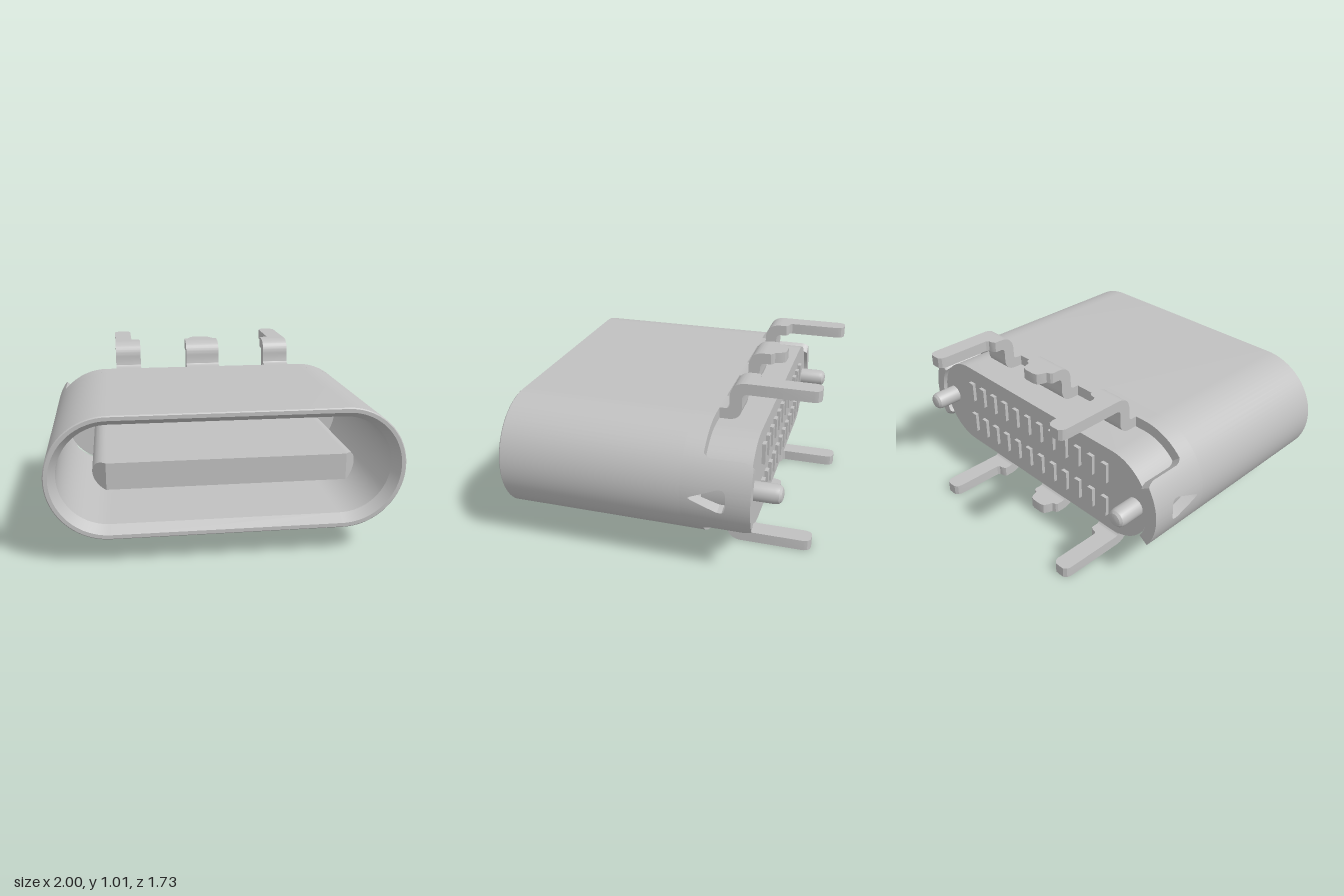
import * as THREE from 'three';
import { toCreasedNormals } from 'three/addons/utils/BufferGeometryUtils.js';

const CY = 0.5075;   // height of the connector axis
const CX = 0.65;     // centres of the rounded ends
const R_OUT = 0.35, R_IN = 0.285;
const HALF = Math.PI / 2;

export function createModel() {
  const model = new THREE.Group();
  const metal = new THREE.MeshStandardMaterial({ color: 0xc0c0c0 });
  metal.name = 'grey metal';

  const add = (name, geo, parent = model) => {
    const mesh = new THREE.Mesh(toCreasedNormals(geo, 0.5), metal);
    mesh.name = name;
    parent.add(mesh);
    return mesh;
  };
  const extrude = (shape, depth) =>
    new THREE.ExtrudeGeometry(shape, { depth, bevelEnabled: false, curveSegments: 24 });
  const range = (a, b, n) => Array.from({ length: n + 1 }, (_, i) => a + (b - a) * i / n);

  // Column = place on the stadium outline: side +1 or -1 and angle from the horizontal
  const col = side => a => ({ side, a });
  const pointOn = (c, r, z) =>
    [c.side * (CX + r * Math.cos(c.a)), CY + r * Math.sin(c.a), z];

  // Sweeps a closed (radius, z) profile along counter-clockwise columns
  function sweep(cols, profile, closed) {
    const pos = [];
    const rows = cols.map(c => profile(c.a).map(([r, z]) => pointOn(c, r, z)));
    const n = rows[0].length;
    const quad = (a, b, c, d) => pos.push(...a, ...b, ...c, ...a, ...c, ...d);
    const last = closed ? rows.length : rows.length - 1;
    for (let i = 0; i < last; i++) {
      const p = rows[i], q = rows[(i + 1) % rows.length];
      for (let j = 0; j < n; j++) {
        const k = (j + 1) % n;
        quad(p[j], q[j], q[k], p[k]);
      }
    }
    if (!closed) {
      quad(...rows[0]);
      quad(...rows[rows.length - 1].slice().reverse());
    }
    const geo = new THREE.BufferGeometry();
    geo.setAttribute('position', new THREE.Float32BufferAttribute(pos, 3));
    geo.computeVertexNormals();
    return geo;
  }
  const wall = (back, front) => a => [
    [R_OUT, back(a)], [R_OUT, front(a)], [R_IN, front(a)], [R_IN, back(a)],
  ];

  // Shell tube with a chamfered mouth
  const arc = range(-HALF, HALF, 40);
  const loop = [...arc.map(col(1)), ...arc.slice().reverse().map(col(-1))];
  add('shell', sweep(loop, () => [
    [R_OUT, -0.2], [R_OUT, 0.858], [R_OUT - 0.006, 0.865], [R_OUT - 0.027, 0.865],
    [R_IN, 0.8], [R_IN, -0.2],
  ], true));

  // Rear edge of the shell above and below, with small fillets next to the side tabs
  const TAB = 0.661;
  const rim = [TAB, TAB + 0.025, TAB + 0.07, ...range(TAB + 0.12, HALF, 18)];
  const rimBack = a => -0.31 - 0.04 * Math.max(0, 1 - (Math.abs(a) - TAB) / 0.07) ** 2;
  const joint = () => -0.2;
  const upper = [...rim.map(col(1)), ...rim.slice().reverse().map(col(-1))];
  const lower = upper.map(c => ({ side: -c.side, a: -c.a }));
  add('shellRearTop', sweep(upper, wall(rimBack, joint), false));
  add('shellRearBottom', sweep(lower, wall(rimBack, joint), false));

  // Side tabs, each with a triangular latch window
  const HOLE = 0.2;
  const tabBack = a => -0.585 + 0.045 * Math.max(0, (Math.abs(a) - 0.58) / (TAB - 0.58)) ** 2;
  const holeBack = a => -0.45 + 0.02 * (Math.abs(a) / HOLE) ** 6;
  const holeFront = a => -0.235 - 0.17 * Math.max(0.06, Math.abs(a) / HOLE);
  for (const side of [1, -1]) {
    const tab = new THREE.Group();
    tab.name = side > 0 ? 'leftTab' : 'rightTab';
    model.add(tab);
    const strip = (name, angles, back, front) => {
      const cols = angles.map(col(side));
      add(name, sweep(side > 0 ? cols : cols.reverse(), wall(back, front), false), tab);
    };
    strip('tabUpper', range(HOLE, TAB, 14), tabBack, joint);
    strip('tabLower', range(-TAB, -HOLE, 14), tabBack, joint);
    strip('tabRear', range(-HOLE, HOLE, 16), tabBack, holeBack);
    strip('tabFront', range(-HOLE, HOLE, 16), holeFront, joint);
  }

  // Stadium outline around the axis
  function stadium(cx, r) {
    const s = new THREE.Shape();
    s.absarc(cx, 0, r, -HALF, HALF, false);
    s.absarc(-cx, 0, r, HALF, HALF * 3, false);
    s.closePath();
    return s;
  }

  // Insulating body and tongue collar
  add('housing', extrude(stadium(CX, 0.275), 0.265).translate(0, CY, -0.565));
  add('tongueCollar', extrude(stadium(0.665, 0.12), 0.21).translate(0, CY, -0.305));

  // Tongue with obliquely cut ends
  const TIP = 0.82, LEN = 1.12;
  add('tongue', new THREE.BoxGeometry(1.33, 0.15, LEN).translate(0, CY, TIP - LEN / 2));
  for (const side of [1, -1]) {
    const half = new THREE.Shape();
    half.absarc(0, 0, 0.075, -side * HALF, side * HALF, side < 0);
    if (side < 0) {
      half.curves.length = 0;
      half.absarc(0, 0, 0.075, HALF, HALF * 3, false);
    }
    half.closePath();
    const geo = extrude(half, LEN);
    const p = geo.attributes.position;
    for (let i = 0; i < p.count; i++) {
      if (p.getZ(i) > LEN / 2) p.setZ(i, LEN - 1.3 * Math.abs(p.getX(i)));
    }
    geo.computeVertexNormals();
    add('tongueEnd', geo.translate(side * 0.665, CY, TIP - LEN));
  }

  // Locating pegs on the back
  const pegProfile = [[0.055, 0], [0.055, 0.125], [0.05, 0.147], [0.038, 0.16], [0.022, 0.165], [0, 0.165]]
    .map(([x, y]) => new THREE.Vector2(x, y));
  for (const side of [1, -1]) {
    add('peg', new THREE.LatheGeometry(pegProfile, 28)
      .rotateX(-HALF).translate(side * 0.83, CY, -0.565));
  }

  // Two rows of twelve contact tails
  for (const row of [1, -1]) {
    for (let i = 0; i < 12; i++) {
      add('contact', new THREE.BoxGeometry(0.042, 0.125, 0.04)
        .translate((i - 5.5) * 0.11, CY + row * 0.115, -0.566));
    }
  }

  // S-bend of a mounting leg, drawn from the side
  const bend = new THREE.Shape();
  bend.moveTo(0.3, 0.7935);
  bend.lineTo(0.355, 0.7935);
  bend.quadraticCurveTo(0.435, 0.7935, 0.435, 0.87);
  bend.lineTo(0.435, 0.92);
  bend.quadraticCurveTo(0.435, 0.95, 0.465, 0.95);
  bend.lineTo(0.5, 0.95);
  bend.lineTo(0.5, 1.015);
  bend.lineTo(0.46, 1.015);
  bend.quadraticCurveTo(0.365, 1.015, 0.365, 0.92);
  bend.lineTo(0.365, 0.88);
  bend.quadraticCurveTo(0.365, 0.8575, 0.34, 0.8575);
  bend.lineTo(0.3, 0.8575);
  bend.closePath();

  // Flat ends of the legs, drawn from above as (x, distance back)
  const footPlan = [[0.42, 0.5], [0.44, 0.512], [0.465, 0.515], [0.475, 0.53], [0.475, 0.825],
    [0.482, 0.848], [0.5, 0.863], [0.53, 0.865], [0.56, 0.863], [0.578, 0.848], [0.585, 0.825], [0.585, 0.5]];
  const halfHook = [[0.11, 0.5], [0.1, 0.512], [0.078, 0.52], [0.07, 0.55], [0.055, 0.575], [0.03, 0.582]];
  const hookPlan = [...halfHook, ...halfHook.map(([x, y]) => [-x, y]).reverse()];

  function addLeg(parent, name, x0, x1, plan) {
    const leg = new THREE.Group();
    leg.name = name;
    parent.add(leg);
    add('legBend', extrude(bend, x1 - x0).rotateY(HALF).translate(x0, 0, 0), leg);
    const shape = new THREE.Shape(plan.map(([x, y]) => new THREE.Vector2(x, y)));
    add('legFoot', extrude(shape, 0.065).rotateX(-HALF).translate(0, 0.95, 0), leg);
  }

  // Three legs above, and the same three turned over below
  for (const name of ['topLegs', 'bottomLegs']) {
    const legs = new THREE.Group();
    legs.name = name;
    addLeg(legs, 'leftLeg', 0.42, 0.585, footPlan);
    addLeg(legs, 'rightLeg', -0.585, -0.42, footPlan.map(([x, y]) => [-x, y]));
    addLeg(legs, 'middleLeg', -0.11, 0.11, hookPlan);
    if (name === 'bottomLegs') {
      legs.rotation.z = Math.PI;
      legs.position.y = 2 * CY;
    }
    model.add(legs);
  }

  return model;
}
